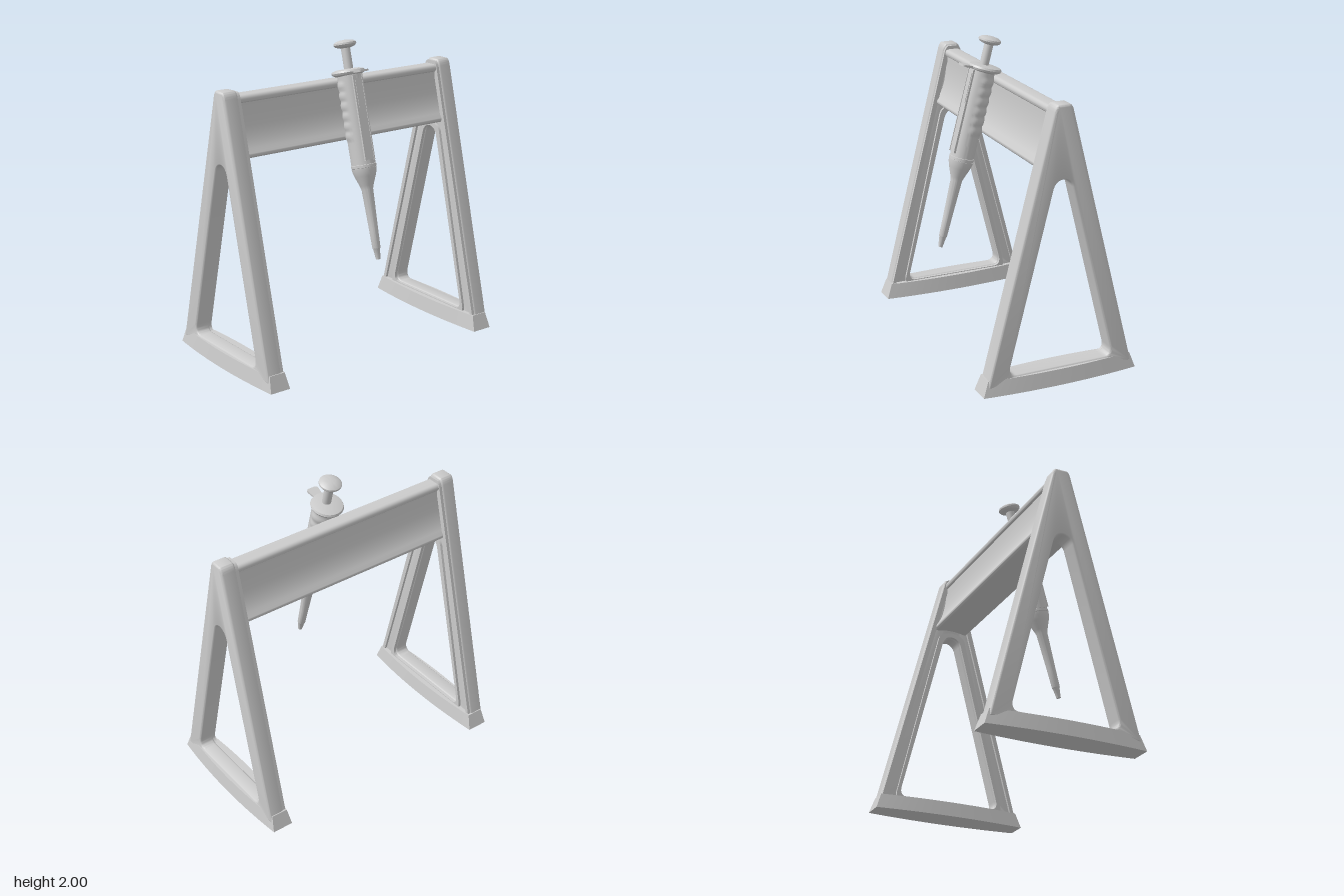
import * as THREE from 'three';
import { toCreasedNormals } from 'three/addons/utils/BufferGeometryUtils.js';

const material = new THREE.MeshStandardMaterial({ color: 0xcccccc });

function add(parent, name, geometry, x = 0, y = 0, z = 0) {
  const mesh = new THREE.Mesh(geometry, material);
  mesh.name = name;
  mesh.position.set(x, y, z);
  parent.add(mesh);
  return mesh;
}

// Tapered A outline, pulled in by d
function outerOutline(path, d) {
  const b = 0.492 - d, t = 0.066 - d * 0.9, top = 1.77 - d * 2;
  path.moveTo(-b, 0.05);
  path.lineTo(b, 0.05);
  path.lineTo(t, top - 0.05);
  path.quadraticCurveTo(t - 0.008, top - 0.01, t - 0.028, top);
  path.lineTo(-t + 0.028, top);
  path.quadraticCurveTo(-t + 0.008, top - 0.01, -t, top - 0.05);
  path.closePath();
  return path;
}

// Window with rounded corners, grown by d
function windowOutline(path, d) {
  const b = 0.345 + d, y = 0.11 - d, t = 0.062 + d, top = 1.33 + d;
  path.moveTo(-b + 0.05, y);
  path.lineTo(b - 0.05, y);
  path.quadraticCurveTo(b + 0.005, y, b - 0.006, y + 0.06);
  path.lineTo(t, top - 0.07);
  path.bezierCurveTo(t - 0.02, top, -t + 0.02, top, -t, top - 0.07);
  path.lineTo(-b + 0.006, y + 0.06);
  path.quadraticCurveTo(-b - 0.005, y, -b + 0.05, y);
  return path;
}

// Extrude a zy shape along x, from x0 to x1
function extrudeX(shape, x0, x1, bevel = 0) {
  const g = new THREE.ExtrudeGeometry(shape, {
    depth: x1 - x0 - 2 * bevel, curveSegments: 10, bevelEnabled: bevel > 0,
    bevelThickness: bevel, bevelSize: bevel, bevelOffset: -bevel, bevelSegments: 4,
  });
  g.translate(0, 0, x0 + bevel);
  g.rotateY(Math.PI / 2);
  return toCreasedNormals(g, 0.6);
}

function lathe(points, segments = 40) {
  const g = new THREE.LatheGeometry(points.map(([r, y]) => new THREE.Vector2(r, y)), segments);
  return toCreasedNormals(g, 0.5);
}

function createEndFrame() {
  const frame = new THREE.Group();
  const body = outerOutline(new THREE.Shape(), 0);
  body.holes.push(windowOutline(new THREE.Path(), 0));
  add(frame, 'frameBody', extrudeX(body, 0.785, 0.887, 0.016));

  // Raised rims leave a channel on the inner face
  const outerRim = outerOutline(new THREE.Shape(), 0.005);
  outerRim.holes.push(outerOutline(new THREE.Path(), 0.03));
  add(frame, 'outerRim', extrudeX(outerRim, 0.768, 0.81));
  const innerRim = windowOutline(new THREE.Shape(), 0.035);
  innerRim.holes.push(windowOutline(new THREE.Path(), 0.005));
  add(frame, 'windowRim', extrudeX(innerRim, 0.768, 0.81));

  // Foot bows outward in the middle and tapers upward
  const foot = new THREE.BoxGeometry(2, 0.1, 2, 1, 1, 20);
  const p = foot.attributes.position;
  for (let i = 0; i < p.count; i++) {
    const z = p.getZ(i), up = p.getY(i) > 0 ? 1 : 0;
    const half = 0.07 + 0.03 * (1 - z * z) - 0.015 * up;
    p.setX(i, p.getX(i) * half);
    p.setZ(i, z * (0.52 - 0.035 * up));
  }
  add(frame, 'foot', toCreasedNormals(foot.toNonIndexed(), 0.5), 0.82, 0.05, 0);
  return frame;
}

function createCrossbar() {
  // Rounded top bead, concave sides and a rounded lower lip
  const s = new THREE.Shape();
  s.moveTo(-0.1, 1.36);
  s.quadraticCurveTo(0, 1.385, 0.1, 1.36);
  s.bezierCurveTo(0.122, 1.36, 0.128, 1.385, 0.112, 1.4);
  s.bezierCurveTo(0.065, 1.46, 0.042, 1.56, 0.04, 1.69);
  s.bezierCurveTo(0.062, 1.695, 0.06, 1.737, 0.03, 1.738);
  s.lineTo(-0.03, 1.738);
  s.bezierCurveTo(-0.06, 1.737, -0.062, 1.695, -0.04, 1.69);
  s.bezierCurveTo(-0.042, 1.56, -0.065, 1.46, -0.112, 1.4);
  s.bezierCurveTo(-0.128, 1.385, -0.122, 1.36, -0.1, 1.36);
  return extrudeX(s, -0.8, 0.8);
}

function createPipette() {
  const pipette = new THREE.Group();

  add(pipette, 'tip', lathe([
    [0, 0], [0.014, 0], [0.022, 0.065], [0.026, 0.072], [0.029, 0.2], [0.037, 0.45],
    [0.045, 0.475], [0.068, 0.535], [0.077, 0.565], [0.079, 0.585], [0, 0.585],
  ]));
  add(pipette, 'collar', lathe([
    [0, 0.58], [0.075, 0.58], [0.075, 0.587], [0.08, 0.589], [0.08, 0.606], [0.075, 0.608], [0.075, 0.614], [0, 0.614],
  ]));

  // Handle with finger ridges everywhere but the front
  const profile = [[0, 0.61], [0.077, 0.61]];
  for (let i = 1; i <= 60; i++) profile.push([0.077 + 0.002 * i / 60, 0.61 + 0.565 * i / 60]);
  profile.push([0, 1.175]);
  const handle = new THREE.LatheGeometry(profile.map(([r, y]) => new THREE.Vector2(r, y)), 48);
  const p = handle.attributes.position;
  for (let i = 0; i < p.count; i++) {
    const x = p.getX(i), y = p.getY(i), z = p.getZ(i), r = Math.hypot(x, z);
    if (r < 0.01 || y < 0.76 || y > 1.14) continue;
    const side = THREE.MathUtils.smoothstep(-z / r, -0.5, 0);
    const k = 1 + 0.09 * side * Math.abs(Math.sin((y - 0.76) / 0.38 * Math.PI * 6));
    p.setXYZ(i, x * k, y, z * k);
  }
  add(pipette, 'handle', toCreasedNormals(handle.toNonIndexed(), 0.7));

  // Front panel with its display window and side rails
  add(pipette, 'frontPanel', new THREE.BoxGeometry(0.06, 0.53, 0.03), 0, 0.9, 0.063);
  add(pipette, 'displayWindow', new THREE.BoxGeometry(0.046, 0.19, 0.01), 0, 1.05, 0.076);
  for (const side of [-1, 1]) {
    add(pipette, 'panelRail', new THREE.BoxGeometry(0.007, 0.54, 0.03), side * 0.034, 0.9, 0.066);
  }

  add(pipette, 'flange', lathe([
    [0, 1.168], [0.08, 1.168], [0.1, 1.178], [0.106, 1.19], [0.1, 1.202], [0.07, 1.21], [0, 1.212],
  ]), 0, 0, -0.012);

  // Finger hook
  const hook = new THREE.Shape();
  hook.moveTo(-0.025, 0.04);
  hook.lineTo(-0.04, 0.14);
  hook.quadraticCurveTo(-0.038, 0.158, -0.022, 0.158);
  hook.lineTo(0.022, 0.158);
  hook.quadraticCurveTo(0.038, 0.158, 0.04, 0.14);
  hook.lineTo(0.025, 0.04);
  const hookGeometry = new THREE.ExtrudeGeometry(hook, { depth: 0.012, bevelEnabled: false });
  hookGeometry.rotateX(Math.PI / 2);
  add(pipette, 'fingerHook', hookGeometry, 0, 1.192, 0);

  add(pipette, 'plunger', new THREE.CylinderGeometry(0.029, 0.029, 0.17, 32), 0, 1.28, 0);
  add(pipette, 'plungerButton', lathe([
    [0, 1.338], [0.03, 1.34], [0.062, 1.35], [0.072, 1.362], [0.071, 1.373], [0.055, 1.384], [0.03, 1.39], [0, 1.392],
  ]));

  pipette.position.set(0, 0.648, 0.425);
  pipette.rotation.x = -0.261;
  return pipette;
}

export function createModel() {
  const model = new THREE.Group();
  model.name = 'pipetteStand';

  // The end frame is symmetric front to back, so a half turn mirrors it
  for (const [name, turn] of [['leftFrame', 0], ['rightFrame', Math.PI]]) {
    const frame = createEndFrame();
    frame.name = name;
    frame.rotation.y = turn;
    model.add(frame);
  }
  add(model, 'crossbar', createCrossbar());

  const pipette = createPipette();
  pipette.name = 'pipette';
  model.add(pipette);
  return model;
}
